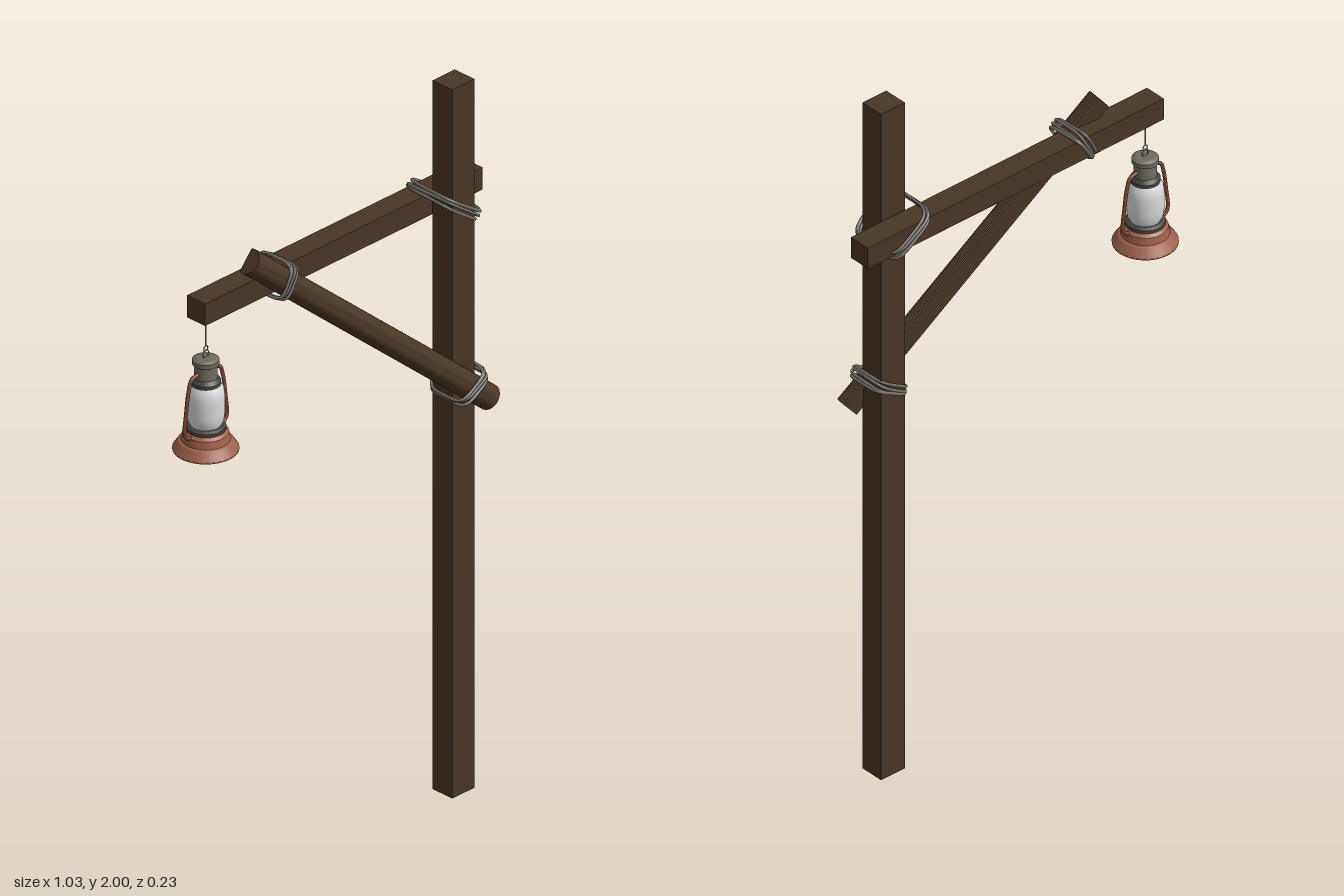
import * as THREE from 'three';
import { toCreasedNormals } from 'three/addons/utils/BufferGeometryUtils.js';

const mat = (name, color) => Object.assign(new THREE.MeshStandardMaterial({ color }), { name });
const V = (x, y, z) => new THREE.Vector3(x, y, z);

export function createModel() {
  const wood = mat('wood', 0x4a3624);
  const rope = mat('rope', 0x706e68);
  const copper = mat('copper', 0xa0604a);
  const darkCopper = mat('dark copper', 0x7c4836);
  const iron = mat('iron', 0x6e6a5e);
  const darkIron = mat('dark iron', 0x45433d);
  const wire = mat('wire', 0x9a9a98);
  const glass = mat('glass', 0xd8dadb);
  glass.side = THREE.DoubleSide;

  const model = new THREE.Group();
  model.name = 'lanternPost';
  const add = (name, geo, material, parent = model) => {
    const m = new THREE.Mesh(geo, material);
    m.name = name;
    parent.add(m);
    return m;
  };

  // Squared timbers
  add('post', new THREE.BoxGeometry(0.078, 2, 0.069), wood).position.set(0.369, 1, 0.0335);
  add('crossBeam', new THREE.BoxGeometry(0.975, 0.062, 0.063), wood).position.set(0.0235, 1.65, -0.037);

  // Diagonal log with its back face hewn flat
  const a = V(-0.297, 1.73, -0.02), b = V(0.445, 1.093, 0.081);
  const yAxis = b.clone().sub(a);
  const length = yAxis.length();
  yAxis.normalize();
  const xAxis = yAxis.clone().cross(V(0, 0, 1)).normalize();
  const zAxis = xAxis.clone().cross(yAxis);
  const logGeo = new THREE.CylinderGeometry(0.034, 0.034, length, 28);
  const lp = logGeo.attributes.position;
  for (let i = 0; i < lp.count; i++) lp.setZ(i, Math.max(lp.getZ(i), -0.011));
  const log = add('diagonalBrace', toCreasedNormals(logGeo, 0.5), wood);
  log.quaternion.setFromRotationMatrix(new THREE.Matrix4().makeBasis(xAxis, yAxis, zAxis));
  log.position.copy(a).lerp(b, 0.5);

  // Lashings: rounded-square loops lying in a tilted plane that contains z
  const lashing = (name, center, angle, halfWidth, halfDepth) => {
    const g = new THREE.Group();
    g.name = name;
    g.position.copy(center);
    g.rotation.z = angle;
    const soft = (c) => Math.sign(c) * Math.sqrt(Math.abs(c));
    for (let s = -1.5; s <= 1.5; s++) {
      const pts = [];
      for (let i = 0; i < 32; i++) {
        const t = (i / 32) * Math.PI * 2;
        const k = 1 + 0.03 * Math.sin(2 * t + s * 2);
        pts.push(V(soft(Math.cos(t)) * halfWidth * k,
          s * 0.0075 + 0.004 * Math.sin(t + s * 1.7),
          soft(Math.sin(t)) * halfDepth * k));
      }
      add('ropeStrand', new THREE.TubeGeometry(new THREE.CatmullRomCurve3(pts, true), 72, 0.0042, 7, true), rope, g);
    }
    model.add(g);
  };
  lashing('beamBraceLashing', V(-0.208, 1.653, -0.021), 1.05, 0.047, 0.058);
  lashing('postBeamLashing', V(0.366, 1.653, 0.002), -0.6, 0.076, 0.081);
  lashing('postBraceLashing', V(0.37, 1.157, 0.05), 0.52, 0.055, 0.061);

  // Lantern, hung below the beam end
  const lantern = new THREE.Group();
  lantern.name = 'lantern';
  lantern.position.set(-0.432, 1.25, -0.035);
  model.add(lantern);
  // Each profile step is its own band, so edges stay crisp
  const turned = (name, profile, material) => {
    const g = new THREE.Group();
    g.name = name;
    for (let i = 0; i + 1 < profile.length; i++) {
      const pts = [profile[i], profile[i + 1]].map(([r, y]) => new THREE.Vector2(r, y));
      add(name + 'Band', new THREE.LatheGeometry(pts, 32), material, g);
    }
    lantern.add(g);
  };
  turned('lanternBase', [[0, 0], [0.083, 0], [0.083, 0.004], [0.068, 0.026], [0.062, 0.029],
    [0.058, 0.049], [0.05, 0.056], [0, 0.057]], copper);
  turned('burnerCollar', [[0.046, 0.055], [0.051, 0.058], [0.051, 0.066], [0.044, 0.07], [0, 0.07]], darkIron);
  const globe = [[0.038, 0.068], [0.045, 0.082], [0.048, 0.105], [0.048, 0.15], [0.045, 0.172], [0.036, 0.186]];
  add('glassGlobe', new THREE.LatheGeometry(globe.map(([r, y]) => new THREE.Vector2(r, y)), 32), glass, lantern);
  turned('capSkirt', [[0, 0.183], [0.038, 0.183], [0.038, 0.193], [0.03, 0.203]], darkIron);
  turned('chimneyCap', [[0.03, 0.2], [0.028, 0.236], [0.034, 0.24], [0.034, 0.252], [0.025, 0.257], [0, 0.258]], iron);

  // Side frame tubes, one on each side
  for (const s of [-1, 1]) {
    const path = new THREE.CatmullRomCurve3([
      V(s * 0.05, 0.048, 0), V(s * 0.066, 0.054, 0), V(s * 0.074, 0.068, 0), V(s * 0.069, 0.125, 0),
      V(s * 0.06, 0.185, 0), V(s * 0.05, 0.212, 0), V(s * 0.028, 0.219, 0)]);
    add('frameTube', new THREE.TubeGeometry(path, 40, 0.005, 10), darkCopper, lantern);
  }

  // Top ring and hanging wire
  add('hangingRing', new THREE.TorusGeometry(0.01, 0.0017, 6, 20), wire, lantern).position.y = 0.267;
  add('hook', new THREE.TorusGeometry(0.007, 0.0015, 6, 18), wire, lantern).position.y = 0.282;
  add('hangingWire', new THREE.CylinderGeometry(0.0015, 0.0015, 0.084, 6), wire, lantern).position.y = 0.33;

  return model;
}
